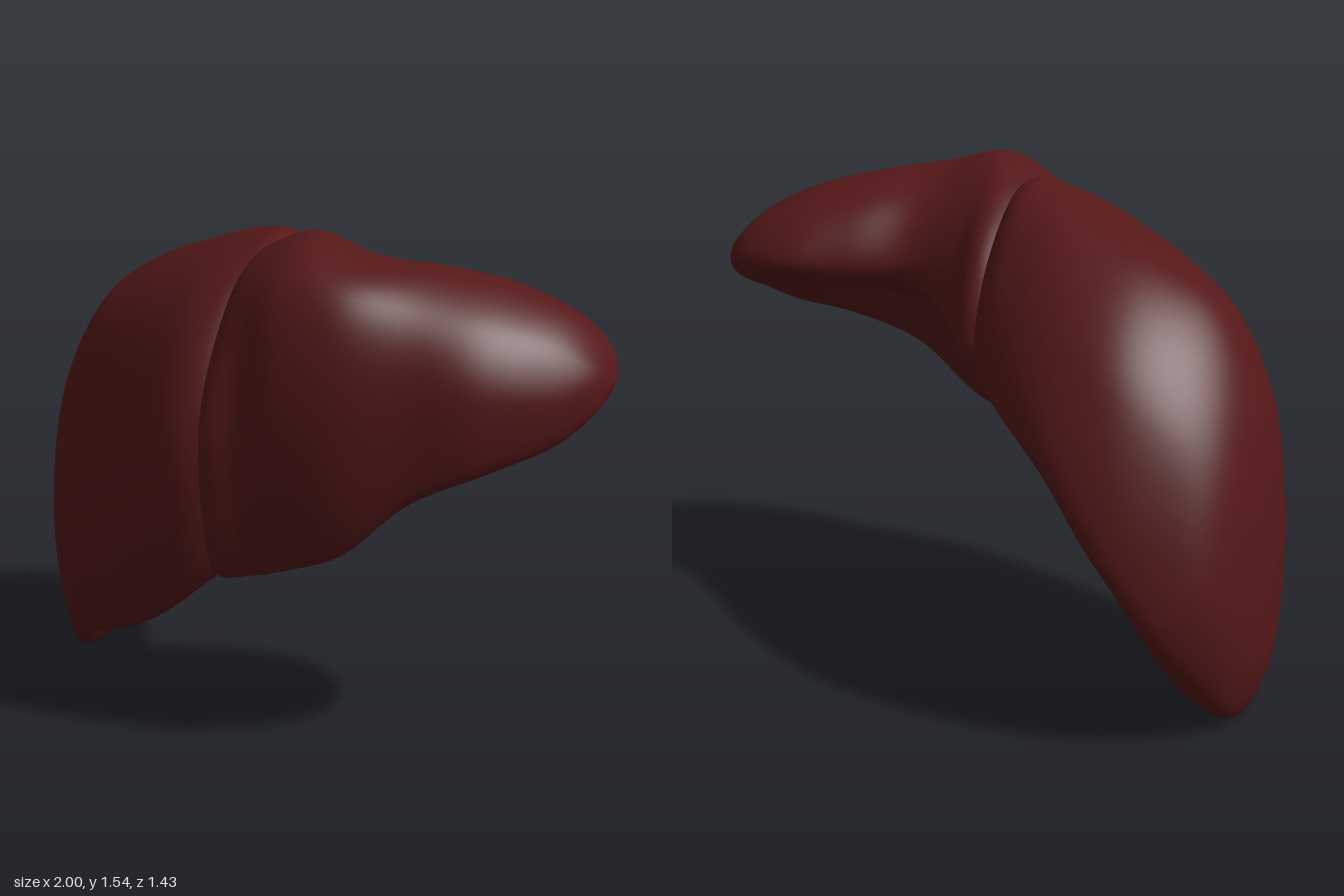
import * as THREE from 'three';

// Each section: x, then eight [z, y] pairs running
// back rim, upper back, top, upper front, front, lower front rim, hollow front, hollow back.
const RIGHT = [
  [-0.97, -.46, .40, -.42, .68, -.25, .84, -.08, .72, -.02, .45, -.08, .22, -.22, .14, -.38, .20],
  [-0.90, -.61, .42, -.52, .85, -.25, 1.08, .05, .92, .14, .50, .03, .10, -.15, .01, -.42, .07],
  [-0.78, -.69, .45, -.57, .98, -.22, 1.26, .14, 1.10, .29, .60, .16, .15, -.15, .22, -.52, .20],
  [-0.60, -.72, .62, -.57, 1.12, -.20, 1.37, .25, 1.22, .43, .70, .30, .22, 0, .50, -.45, .55],
  [-0.40, -.65, .85, -.48, 1.23, -.12, 1.44, .35, 1.32, .57, .85, .43, .32, .15, .65, -.30, .78],
  [-0.20, -.48, .96, -.34, 1.28, 0, 1.50, .45, 1.37, .65, .95, .54, .47, .28, .73, -.12, .87],
  [-0.05, -.28, 1.02, -.18, 1.30, .10, 1.50, .40, 1.40, .58, 1.0, .48, .62, .30, .78, 0, .92],
];
const LEFT = [
  [-0.12, -.20, 1.0, -.10, 1.25, .15, 1.45, .45, 1.36, .655, 1.0, .58, .55, .40, .72, .10, .90],
  [0, -.23, 1.02, -.12, 1.33, .20, 1.52, .54, 1.42, .67, 1.0, .57, .55, .42, .75, .05, .92],
  [0.12, -.10, 1.10, .02, 1.38, .30, 1.55, .60, 1.44, .70, 1.07, .58, .58, .42, .85, .12, 1.0],
  [0.30, .02, 1.20, .12, 1.40, .36, 1.50, .62, 1.42, .69, 1.12, .60, .65, .42, .95, .18, 1.08],
  [0.50, -.03, 1.21, .07, 1.39, .32, 1.47, .55, 1.38, .63, 1.15, .58, .82, .38, 1.05, .12, 1.12],
  [0.70, -.07, 1.21, .03, 1.35, .25, 1.42, .48, 1.34, .58, 1.15, .52, .91, .32, 1.08, .08, 1.13],
  [0.88, -.01, 1.20, .06, 1.29, .22, 1.33, .38, 1.27, .45, 1.13, .39, .99, .24, 1.05, .08, 1.12],
  [0.97, .09, 1.18, .12, 1.22, .20, 1.23, .30, 1.20, .33, 1.14, .30, 1.08, .21, 1.09, .12, 1.13],
];

// Smooth closed skin through the sections, drawn together to a point at both ends
function lobeGeometry(sections, startTip, endTip, rings = 80, sides = 80) {
  const columns = [];
  for (let k = 0; k < 8; k++) {
    const points = sections.map((s) => new THREE.Vector3(s[0], s[2 + 2 * k], s[1 + 2 * k]));
    columns.push(new THREE.CatmullRomCurve3([startTip, ...points, endTip]));
  }
  const positions = [];
  const index = [];
  for (let i = 0; i <= rings; i++) {
    // Rings gather toward the rounded ends
    const t = 0.5 - 0.5 * Math.cos((Math.PI * i) / rings);
    const loop = new THREE.CatmullRomCurve3(columns.map((c) => c.getPoint(t)), true, 'catmullrom', 0.5);
    for (let j = 0; j < sides; j++) {
      positions.push(...loop.getPoint(j / sides).toArray());
      if (i === rings) continue;
      const a = i * sides + j;
      const b = i * sides + ((j + 1) % sides);
      if (i > 0) index.push(a, b, a + sides);
      if (i < rings - 1) index.push(b, b + sides, a + sides);
    }
  }
  const geometry = new THREE.BufferGeometry();
  geometry.setAttribute('position', new THREE.Float32BufferAttribute(positions, 3));
  geometry.setIndex(index);
  geometry.computeVertexNormals();
  return geometry;
}

export function createModel() {
  const group = new THREE.Group();
  group.name = 'liver';
  const material = new THREE.MeshStandardMaterial({ color: 0x551818 });
  const addLobe = (name, sections, startTip, endTip) => {
    const mesh = new THREE.Mesh(lobeGeometry(sections, startTip, endTip), material);
    mesh.name = name;
    group.add(mesh);
  };

  // Large lobe with the deep hollow underneath
  addLobe('rightLobe', RIGHT, new THREE.Vector3(-1, 0.48, -0.26), new THREE.Vector3(0.06, 1.18, 0.2));
  // Smaller tapering lobe; its inner end is buried in the large one, leaving a groove
  addLobe('leftLobe', LEFT, new THREE.Vector3(-0.22, 1.15, 0.25), new THREE.Vector3(1, 1.15, 0.21));
  return group;
}
